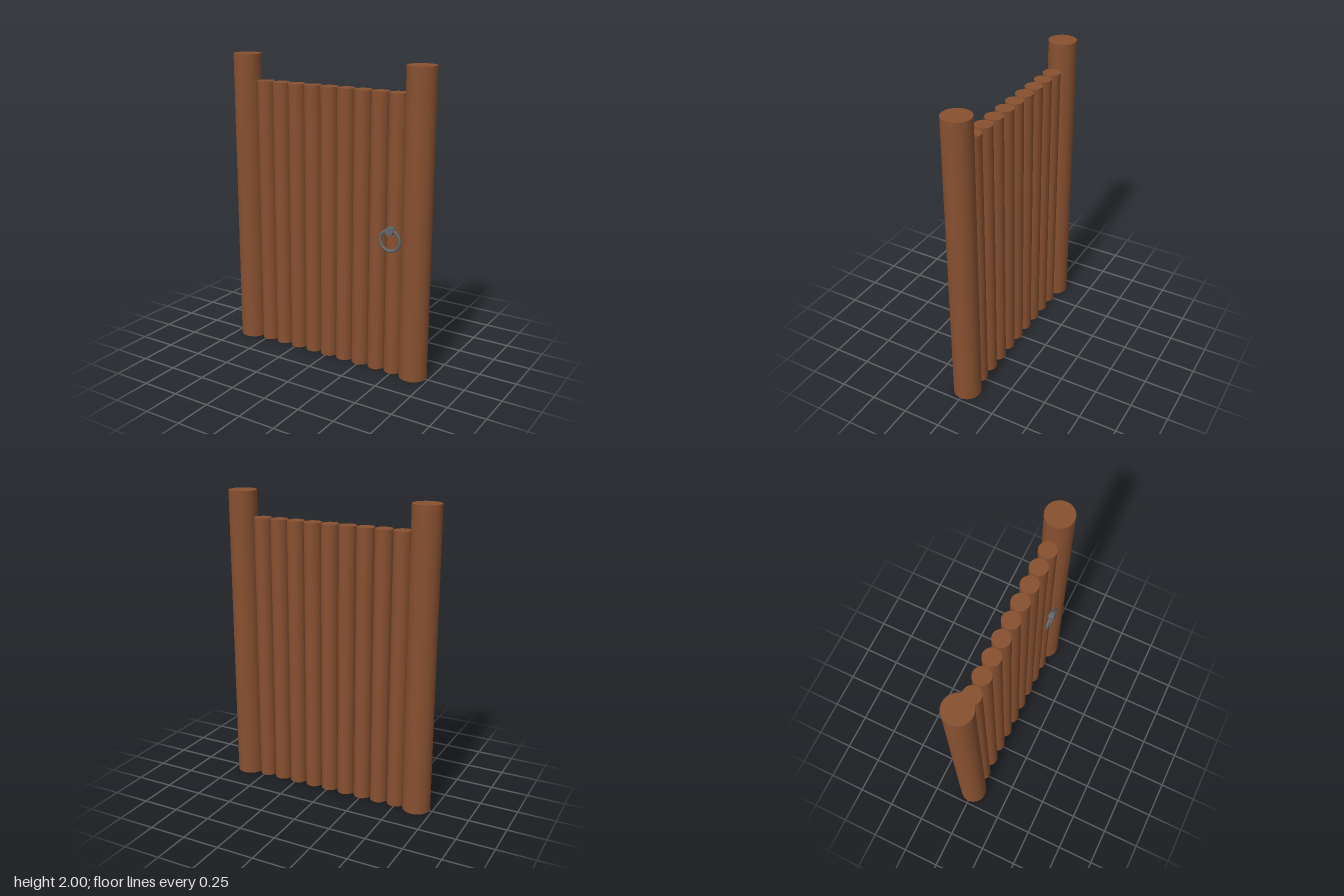
import * as THREE from 'three';

export function createModel() {
  const gate = new THREE.Group();
  gate.name = 'logGate';

  const wood = new THREE.MeshStandardMaterial({ color: 0x875030 });
  wood.name = 'brown wood';
  const iron = new THREE.MeshStandardMaterial({ color: 0x62666a });
  iron.name = 'grey iron';

  const add = (name, geometry, material, x, y, z) => {
    const mesh = new THREE.Mesh(geometry, material);
    mesh.name = name;
    mesh.position.set(x, y, z);
    gate.add(mesh);
  };

  // Upright round log standing on the ground
  const addLog = (name, radius, height, x) =>
    add(name, new THREE.CylinderGeometry(radius, radius, height, 32), wood, x, height / 2, 0);

  // Tall posts at both sides
  addLog('leftPost', 0.092, 2, 0.639);
  addLog('rightPost', 0.092, 2, -0.639);

  // Row of thinner logs between the posts
  for (let i = -4; i <= 4; i++) addLog(`log${i + 5}`, 0.0575, 1.83, i * 0.1225);

  // Pull ring hanging from a short stud
  add('pullRing', new THREE.TorusGeometry(0.068, 0.0095, 12, 32), iron, 0.488, 0.917, 0.07);
  const stud = new THREE.CylinderGeometry(0.029, 0.029, 0.05, 8, 1, false, Math.PI / 8);
  stud.rotateX(Math.PI / 2);
  add('ringStud', stud, iron, 0.488, 0.98, 0.067);

  return gate;
}
